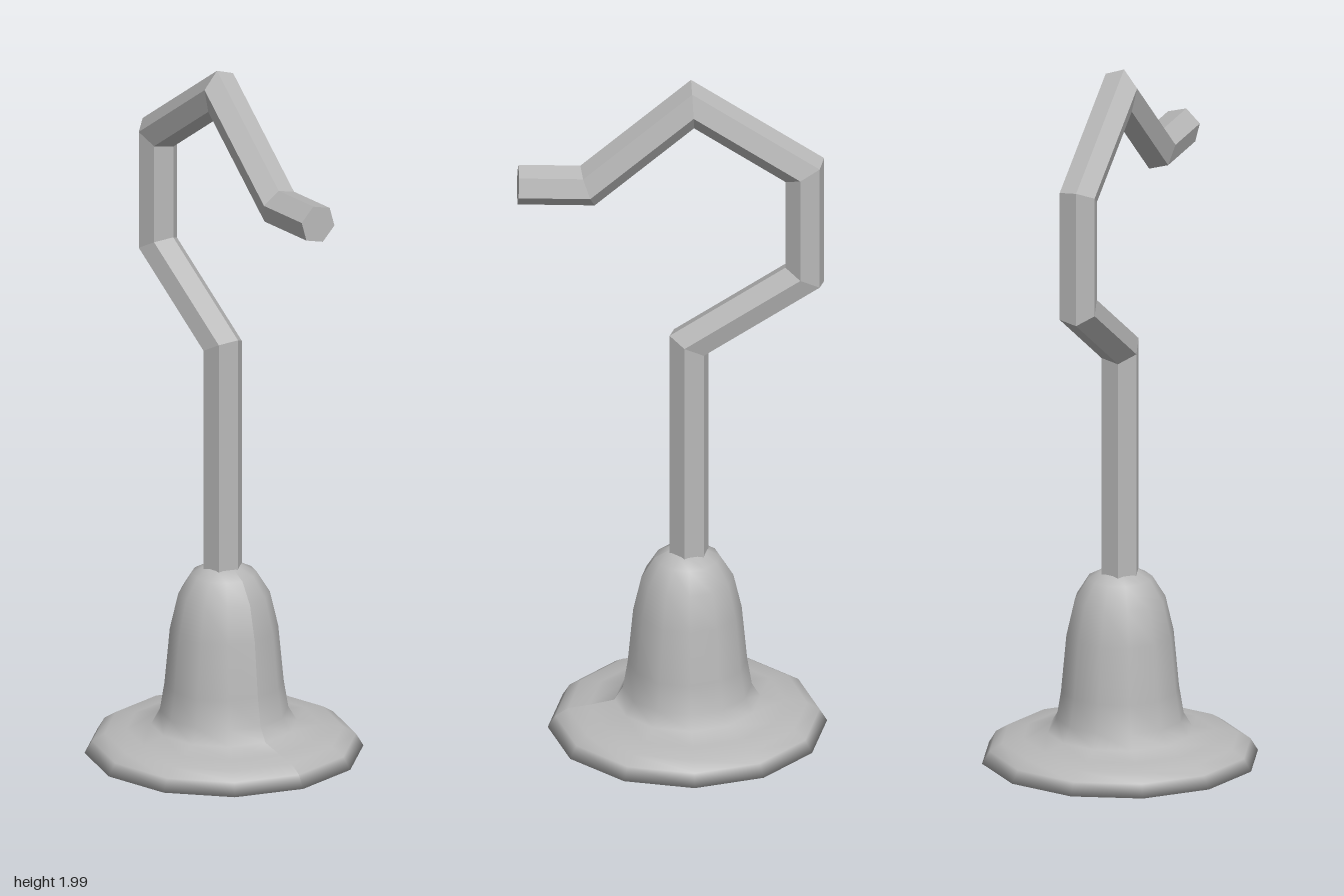
import * as THREE from 'three';

// Hexagonal rod swept along a path lying in one vertical plane, with mitred joints.
// Path points are [s, y], where s runs along the horizontal direction u.
function hexRod(path, radius, azimuth, twist) {
  const u = new THREE.Vector3(Math.cos(azimuth), 0, Math.sin(azimuth));
  const v = new THREE.Vector3(-Math.sin(azimuth), 0, Math.cos(azimuth));
  const pts = path.map(([s, y]) => new THREE.Vector2(s, y));
  const dirs = pts.slice(1).map((p, i) => p.clone().sub(pts[i]).normalize());
  const positions = [], index = [], sides = 6;

  pts.forEach((p, k) => {
    const before = dirs[Math.max(k - 1, 0)];
    const after = dirs[Math.min(k, dirs.length - 1)];
    const t = before.clone().add(after).normalize();
    const miter = 1 / t.dot(after);
    for (let i = 0; i < sides; i++) {
      const a = twist + (i / sides) * Math.PI * 2;
      const n = Math.cos(a) * radius * miter, b = Math.sin(a) * radius;
      const q = u.clone().multiplyScalar(p.x + n * t.y).addScaledVector(v, b);
      positions.push(q.x, p.y - n * t.x, q.z);
    }
  });

  for (let k = 0; k < pts.length - 1; k++) {
    for (let i = 0; i < sides; i++) {
      const j = (i + 1) % sides, a = k * sides, b = a + sides;
      index.push(a + i, b + j, a + j, a + i, b + i, b + j);
    }
  }
  // End caps
  const last = (pts.length - 1) * sides;
  for (let i = 1; i < sides - 1; i++) {
    index.push(0, i, i + 1, last, last + i + 1, last + i);
  }

  const geometry = new THREE.BufferGeometry();
  geometry.setAttribute('position', new THREE.Float32BufferAttribute(positions, 3));
  geometry.setIndex(index);
  const flat = geometry.toNonIndexed();
  flat.computeVertexNormals();
  return flat;
}

export function createModel() {
  const model = new THREE.Group();
  model.name = 'hookOnStand';
  const grey = new THREE.MeshStandardMaterial({ color: 0xb8b8b8 });
  grey.name = 'grey';

  // Bell-shaped foot with a wide twelve-sided flange and a closed underside
  const profile = [
    [0, 0], [0.386, 0], [0.365, 0.035], [0.33, 0.057], [0.27, 0.066], [0.202, 0.08],
    [0.178, 0.12], [0.165, 0.2], [0.15, 0.36], [0.127, 0.46], [0.09, 0.52], [0.05, 0.541], [0, 0.543],
  ].map(([r, y]) => new THREE.Vector2(r, y));
  const footGeometry = new THREE.LatheGeometry(profile, 12, THREE.MathUtils.degToRad(42));
  footGeometry.computeVertexNormals();
  const foot = new THREE.Mesh(footGeometry, grey);
  foot.name = 'bellFoot';
  model.add(foot);

  // Post bending into an angular hook
  const path = [
    [0, 0.5], [0, 1.185], [-0.32, 1.39], [-0.32, 1.715], [-0.01, 1.927], [0.28, 1.68], [0.472, 1.687],
  ];
  const hook = new THREE.Mesh(
    hexRod(path, 0.056, THREE.MathUtils.degToRad(48.6), THREE.MathUtils.degToRad(-15)), grey);
  hook.name = 'postAndHook';
  hook.position.set(-0.004, 0, -0.002);
  model.add(hook);

  return model;
}
